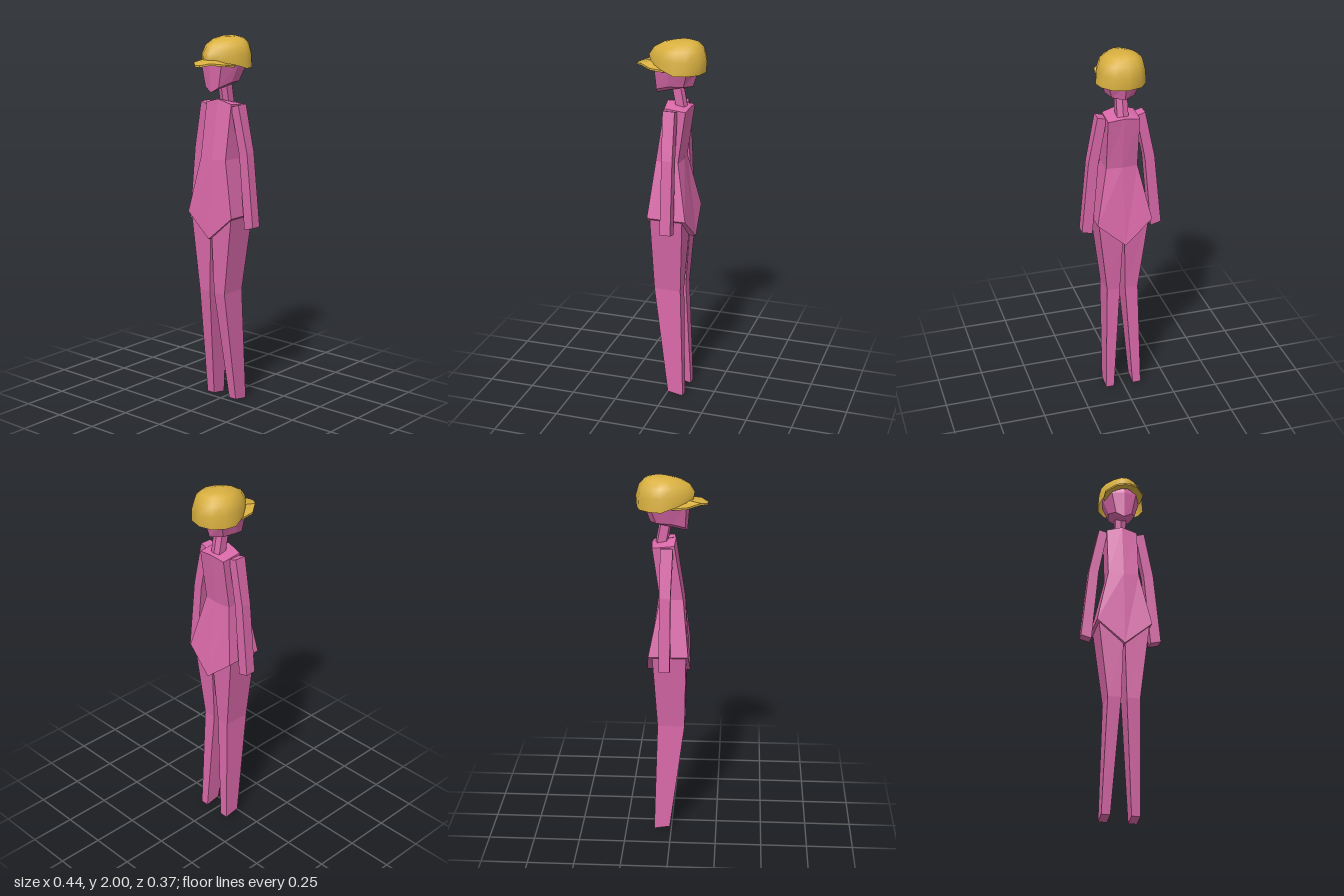
import * as THREE from 'three';

const skin = new THREE.MeshStandardMaterial({ color: 0xd868a8, flatShading: true });
const gold = new THREE.MeshStandardMaterial({ color: 0xd9b040, side: THREE.DoubleSide });
const goldFlat = new THREE.MeshStandardMaterial({ color: 0xd9b040, flatShading: true });

// Skin a stack of equal-length rings (counter-clockwise seen from the last ring's end)
function loft(name, rings, material, closeStart = true) {
  const n = rings[0].length, index = [];
  for (let r = 0; r < rings.length - 1; r++) {
    for (let i = 0; i < n; i++) {
      const a = r * n + i, b = r * n + (i + 1) % n;
      index.push(a, b, b + n, a, b + n, a + n);
    }
  }
  const last = (rings.length - 1) * n;
  for (let i = 1; i < n - 1; i++) {
    if (closeStart) index.push(0, i + 1, i);
    index.push(last, last + i, last + i + 1);
  }
  const g = new THREE.BufferGeometry();
  g.setAttribute('position', new THREE.Float32BufferAttribute(rings.flat(2), 3));
  g.setIndex(index);
  g.computeVertexNormals();
  const mesh = new THREE.Mesh(g, material);
  mesh.name = name;
  return mesh;
}

// Complete a ring from its +x half, listed from front centre to back centre
const mirrorRing = half => [...half,
  ...half.slice(1, -1).reverse().map(([x, y, z]) => [-x, y, z])];

// Four-sided limb section: inner and outer edge, front and back
const limbRing = (xi, yi, xo, yo, zf, zb, drop = 0) =>
  [[xi, yi, zf], [xo, yo, zf], [xo, yo - drop, zb], [xi, yi - drop, zb]];

function addPair(group, name, rings) {
  group.add(loft('left' + name, rings, skin));
  const flipped = rings.map(r => r.map(([x, y, z]) => [-x, y, z]).reverse());
  group.add(loft('right' + name, flipped, skin));
}

export function createModel() {
  const group = new THREE.Group();
  group.name = 'figure';

  // Torso: pointed crotch, flared hips, peaked collar
  const torso = [
    [[0, 0.93, 0.1], [0.15, 1.06, 0.092], [0.15, 1.06, -0.12], [0, 0.93, -0.135]],
    [[0, 1.36, 0.07], [0.085, 1.36, 0.062], [0.085, 1.36, -0.06], [0, 1.36, -0.07]],
    [[0, 1.675, 0.022], [0.085, 1.652, 0.015], [0.085, 1.64, -0.1], [0, 1.65, -0.105]],
  ];
  group.add(loft('torso', torso.map(mirrorRing), skin));

  addPair(group, 'Leg', [
    limbRing(0.055, 0.015, 0.102, 0.015, -0.008, -0.095, 0.015),
    limbRing(0.015, 0.63, 0.087, 0.63, 0.072, -0.075),
    limbRing(0.003, 0.98, 0.14, 1.07, 0.08, -0.1),
  ]);

  addPair(group, 'Arm', [
    limbRing(0.163, 0.988, 0.22, 1.003, -0.002, -0.06),
    limbRing(0.127, 1.39, 0.18, 1.4, 0, -0.058),
    limbRing(0.08, 1.638, 0.128, 1.652, 0.01, -0.055),
  ]);

  // Neck leaning forward
  group.add(loft('neck', [
    mirrorRing([[0, 1.63, -0.025], [0.03, 1.63, -0.035], [0.03, 1.63, -0.08], [0, 1.63, -0.09]]),
    mirrorRing([[0, 1.79, 0.005], [0.03, 1.79, -0.005], [0.03, 1.79, -0.05], [0, 1.79, -0.06]]),
  ], skin));

  // Head: chin and jaw widening to the cheeks
  const head = [
    [[0, 1.713, 0.08], [0.045, 1.74, 0.07], [0.075, 1.765, 0], [0.06, 1.765, -0.08], [0, 1.758, -0.115]],
    [[0, 1.86, 0.092], [0.068, 1.86, 0.075], [0.108, 1.87, -0.02], [0.09, 1.86, -0.11], [0, 1.85, -0.145]],
    [[0, 1.92, 0.08], [0.06, 1.92, 0.065], [0.09, 1.92, -0.02], [0.075, 1.92, -0.1], [0, 1.92, -0.13]],
  ];
  group.add(loft('head', head.map(mirrorRing), skin));

  // Cap crown: one egg-shaped outline shrunk towards the top, slightly fuller on its left
  const outline = [[0, 0.116], [0.02, 0.116], [0.063, 0.08], [0.105, 0.02],
    [0.125, -0.05], [0.112, -0.11], [0.07, -0.168], [0, -0.188]];
  const rimY = [1.882, 1.882, 1.875, 1.86, 1.838, 1.838, 1.838, 1.838];
  const crownRing = (sx, sz, yFront, yBack) => mirrorRing(outline.map(([x, z], i) =>
    [x * sx, yFront === null ? rimY[i] : yFront + (yBack - yFront) * i / 7, -0.07 + (z + 0.07) * sz]))
    .map(([x, y, z]) => [x > 0 ? x * 1.09 : x, y, z]);
  group.add(loft('capCrown', [
    crownRing(1, 0.97, null),
    crownRing(0.96, 1, 1.92, 1.9),
    crownRing(0.86, 0.86, 1.957, 1.957),
    crownRing(0.62, 0.62, 1.982, 1.988),
    crownRing(0.3, 0.32, 1.996, 2),
  ], gold, false));

  // Cap brim: sections swept from one side round the front to the other
  const brimHalf = [
    [[-0.098, 1.858, 0.0], [-0.107, 1.858, 0.02]],
    [[-0.065, 1.876, 0.06], [-0.107, 1.865, 0.085]],
    [[-0.045, 1.886, 0.08], [-0.057, 1.874, 0.15]],
    [[-0.018, 1.886, 0.105], [-0.016, 1.864, 0.185]],
  ];
  const flip = ([x, y, z]) => [-x, y, z];
  const brim = [...brimHalf, ...brimHalf.map(s => s.map(flip)).reverse()];
  const lower = ([x, y, z]) => [x, y - 0.01, z];
  group.add(loft('capBrim', brim.map(([i, o]) => [lower(i), i, o, lower(o)]), goldFlat));

  return group;
}
